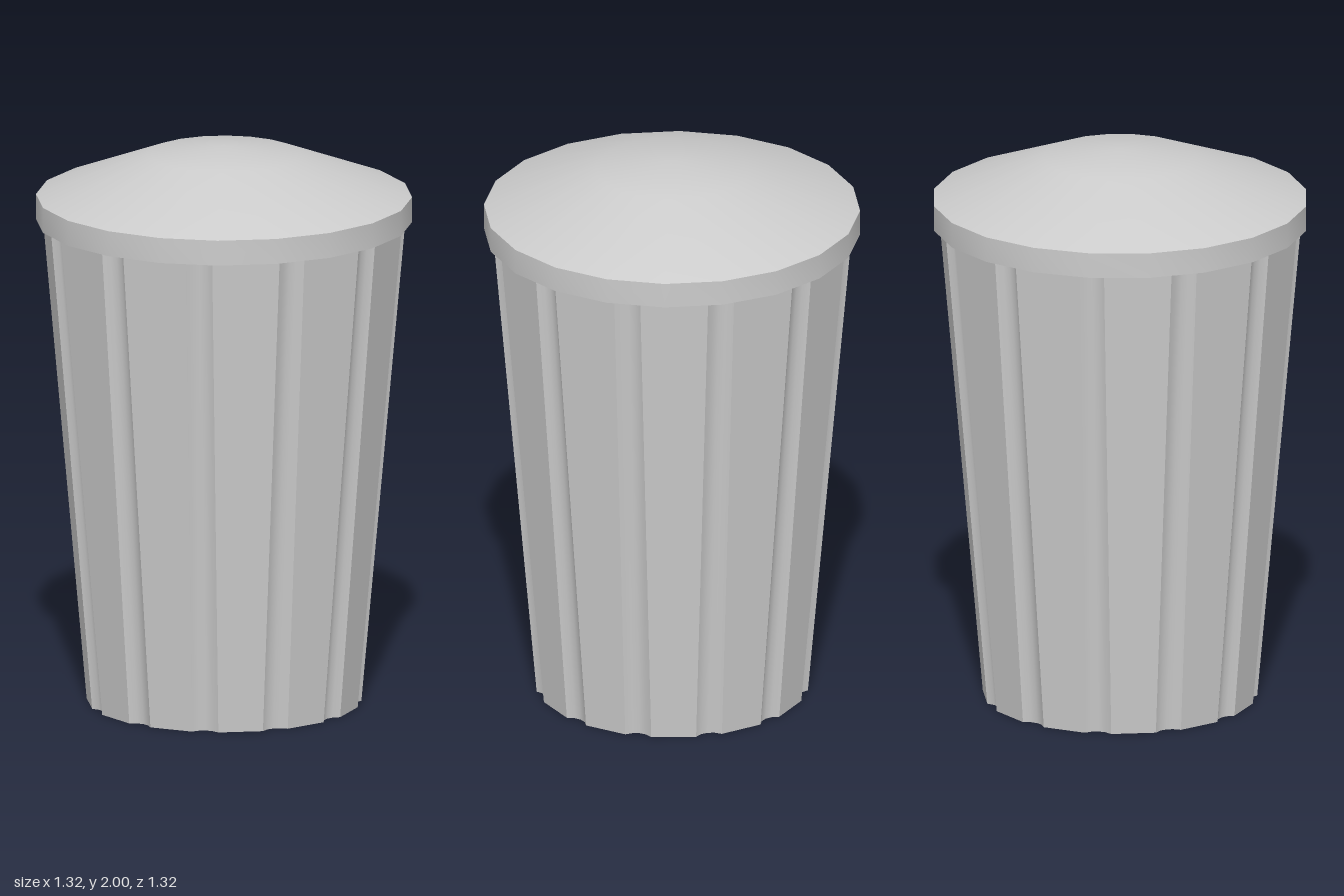
import * as THREE from 'three';
import { toCreasedNormals } from 'three/addons/utils/BufferGeometryUtils.js';

const GROOVES = 12, STEPS = 4;        // flutes around the bin, segments per flute
const HALF = 0.047, ARC = 0.061;      // flute half width and arc radius

// Closed outline of the fluted bin at one height: flat panels between round grooves
function outline(radius, y) {
  const points = [];
  const reach = Math.sqrt(radius * radius - HALF * HALF);
  for (let k = 0; k < GROOVES; k++) {
    const a = (k / GROOVES) * Math.PI * 2;
    for (let i = 0; i <= STEPS; i++) {
      const t = HALF * (2 * i / STEPS - 1);
      const depth = Math.sqrt(ARC * ARC - t * t) - Math.sqrt(ARC * ARC - HALF * HALF);
      const r = reach - depth;
      points.push([
        r * Math.sin(a) + t * Math.cos(a), y,
        r * Math.cos(a) - t * Math.sin(a),
      ]);
    }
  }
  return points;
}

// Tapered wall between two outlines, plus the floor
function bodyGeometry() {
  const low = outline(0.482, 0), high = outline(0.641, 1.78);
  const pos = [], n = low.length;
  for (let i = 0; i < n; i++) {
    const j = (i + 1) % n;
    pos.push(...low[i], ...low[j], ...high[j]);
    pos.push(...low[i], ...high[j], ...high[i]);
    pos.push(0, 0, 0, ...low[j], ...low[i]);
  }
  const geometry = new THREE.BufferGeometry();
  geometry.setAttribute('position', new THREE.Float32BufferAttribute(pos, 3));
  return toCreasedNormals(geometry, 0.6);
}

// Twenty-sided lid: underside, upright rim and shallow dome
function lidGeometry() {
  const profile = [[0, 1.73], [0.66, 1.73], [0.66, 1.82], [0.27, 1.97], [0, 2]]
    .map(([r, y]) => new THREE.Vector2(r, y));
  return toCreasedNormals(new THREE.LatheGeometry(profile, 20), 0.6);
}

export function createModel() {
  const group = new THREE.Group();
  group.name = 'bin';
  const material = new THREE.MeshStandardMaterial({ color: 0xcccccc });
  const add = (name, geometry) => {
    const mesh = new THREE.Mesh(geometry, material);
    mesh.name = name;
    group.add(mesh);
  };
  add('body', bodyGeometry());
  add('lid', lidGeometry());
  return group;
}
